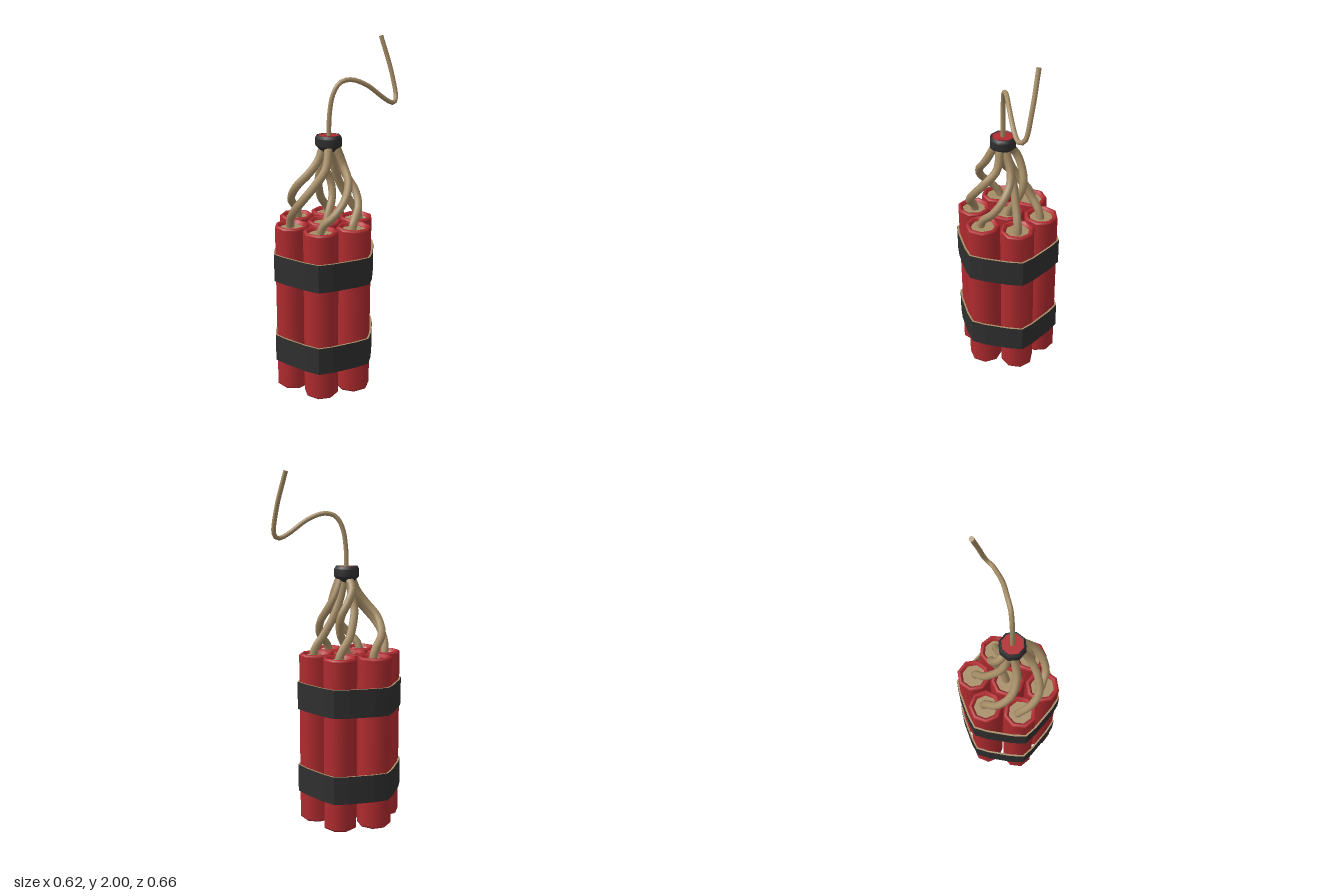
import * as THREE from 'three';

const mat = (name, color) => Object.assign(new THREE.MeshStandardMaterial({ color }), { name });
const V = (a) => new THREE.Vector3(...a);

export function createModel() {
  const red = mat('red paper', 0xb02b2f);
  const tan = mat('tan cord', 0xa68d66);
  const black = mat('black tape', 0x2f2f2f);

  const model = new THREE.Group();
  model.name = 'stickBundle';
  const CZ = 0.05; // bundle axis offset in z

  const add = (parent, name, geo, material, x = 0, y = 0, z = 0) => {
    const m = new THREE.Mesh(geo, material);
    m.name = name;
    m.position.set(x, y, z);
    parent.add(m);
    return m;
  };
  const lathe = (pts) => new THREE.LatheGeometry(pts.map((p) => new THREE.Vector2(...p)), 8);

  // Sticks: octagonal tubes with rounded rims and recessed tan ends
  const tube = lathe([
    [0.068, 0.02], [0.077, 0.004], [0.087, 0], [0.097, 0.008], [0.098, 0.014], [0.098, 0.016],
    [0.098, 0.974], [0.098, 0.976], [0.097, 0.982], [0.087, 0.99], [0.077, 0.986], [0.068, 0.97],
  ]);
  const plug = new THREE.CylinderGeometry(0.072, 0.072, 0.945, 8);
  const addStick = (x, z, turn) => {
    const stick = new THREE.Group();
    stick.name = 'stick';
    stick.position.set(x, 0, z);
    stick.rotation.y = turn;
    add(stick, 'stickTube', tube, red);
    add(stick, 'stickFilling', plug, tan, 0, 0.495, 0);
    model.add(stick);
  };
  addStick(0, CZ, -0.07);
  for (let i = 0; i < 6; i++) {
    const a = (i * Math.PI) / 3;
    addStick(0.2 * Math.cos(a), CZ + 0.2 * Math.sin(a), -a - 0.07);
  }

  // Tape bands: rounded hexagon ring, black outside, tan edges and inside
  const outline = (inset) => {
    const pts = [];
    for (let i = 0; i < 6; i++) {
      for (const [off, r] of [[-15, 0.289], [0, 0.31], [15, 0.289]]) {
        const a = ((i * 60 + off) * Math.PI) / 180;
        pts.push(new THREE.Vector2((r - inset) * Math.cos(a), (r - inset) * Math.sin(a)));
      }
    }
    return pts;
  };
  const ring = new THREE.Shape(outline(0));
  ring.holes.push(new THREE.Path(outline(0.011)));
  const band = new THREE.ExtrudeGeometry(ring, { depth: 0.16, bevelEnabled: false });
  const side = band.groups[1].start;
  const outerCount = 18 * 6;
  band.clearGroups();
  band.addGroup(0, side, 0);
  band.addGroup(side, outerCount, 1);
  band.addGroup(side + outerCount, band.attributes.position.count - side - outerCount, 0);
  band.rotateX(-Math.PI / 2);
  add(model, 'lowerBand', band, [tan, black], 0, 0.17, CZ);
  add(model, 'upperBand', band, [tan, black], 0, 0.665, CZ);

  // Cords: one from each stick, swirling up into the collar
  const cords = [
    [[-0.2, 0.95, 0.03], [-0.2, 1.02, 0.05], [-0.18, 1.1, 0.125], [-0.11, 1.19, 0.165], [-0.04, 1.27, 0.14], [-0.005, 1.34, 0.1], [0.01, 1.42, 0.07]],
    [[-0.12, 0.95, 0.21], [-0.105, 1.01, 0.23], [-0.06, 1.07, 0.26], [0, 1.14, 0.265], [0.05, 1.22, 0.22], [0.075, 1.31, 0.14], [0.055, 1.42, 0.085]],
    [[0.09, 0.95, 0.22], [0.11, 1.01, 0.217], [0.165, 1.07, 0.19], [0.19, 1.15, 0.125], [0.17, 1.23, 0.06], [0.11, 1.31, 0.02], [0.07, 1.42, 0.035]],
    [[0.2, 0.95, 0.07], [0.2, 1.01, 0.05], [0.185, 1.08, -0.02], [0.14, 1.16, -0.055], [0.08, 1.24, -0.05], [0.05, 1.32, -0.02], [0.045, 1.42, 0.02]],
    [[0.115, 0.95, -0.14], [0.105, 1.01, -0.13], [0.07, 1.1, -0.085], [0.04, 1.2, -0.04], [0.03, 1.3, 0], [0.03, 1.42, 0.035]],
    [[-0.09, 0.95, -0.13], [-0.095, 1.01, -0.11], [-0.095, 1.08, -0.05], [-0.075, 1.16, 0], [-0.045, 1.24, 0.04], [-0.01, 1.32, 0.05], [0.01, 1.42, 0.05]],
    [[0, 0.95, 0.04], [0.005, 1.03, 0.01], [-0.005, 1.11, -0.035], [-0.03, 1.2, -0.05], [-0.052, 1.29, -0.01], [-0.045, 1.36, 0.025], [0.01, 1.42, 0.04]],
  ];
  for (const path of cords) {
    const curve = new THREE.CatmullRomCurve3(path.map(V));
    add(model, 'stickCord', new THREE.TubeGeometry(curve, 18, 0.023, 8), tan);
  }

  // Collar: tapered octagonal tape wrap with a red top
  const collar = add(model, 'collar', lathe([
    [0.001, 1.395], [0.04, 1.39], [0.042, 1.391], [0.074, 1.42], [0.076, 1.424],
    [0.076, 1.462], [0.075, 1.466], [0.067, 1.48], [0.063, 1.481], [0.06, 1.474],
  ]), black, 0.03, 0, CZ);
  collar.rotation.y = Math.PI / 8;
  const top = add(model, 'collarTop', new THREE.CylinderGeometry(0.064, 0.064, 0.008, 8), red, 0.03, 1.473, CZ);
  top.rotation.y = Math.PI / 8;

  // Fuse: thin bent cord rising from the collar, capped at its tip
  const fusePath = new THREE.CatmullRomCurve3([
    [0.03, 1.46, 0.05], [0.033, 1.6, 0.045], [0.045, 1.7, 0.03], [0.07, 1.76, 0], [0.105, 1.775, -0.05],
    [0.16, 1.745, -0.12], [0.225, 1.66, -0.22], [0.246, 1.637, -0.265], [0.243, 1.655, -0.302],
    [0.205, 1.8, -0.312], [0.142, 1.997, -0.295],
  ].map(V));
  add(model, 'fuse', new THREE.TubeGeometry(fusePath, 40, 0.013, 8), tan);
  const tip = add(model, 'fuseTip', new THREE.CircleGeometry(0.013, 8), tan);
  tip.position.copy(fusePath.getPoint(1));
  tip.quaternion.setFromUnitVectors(new THREE.Vector3(0, 0, 1), fusePath.getTangent(1));

  return model;
}
